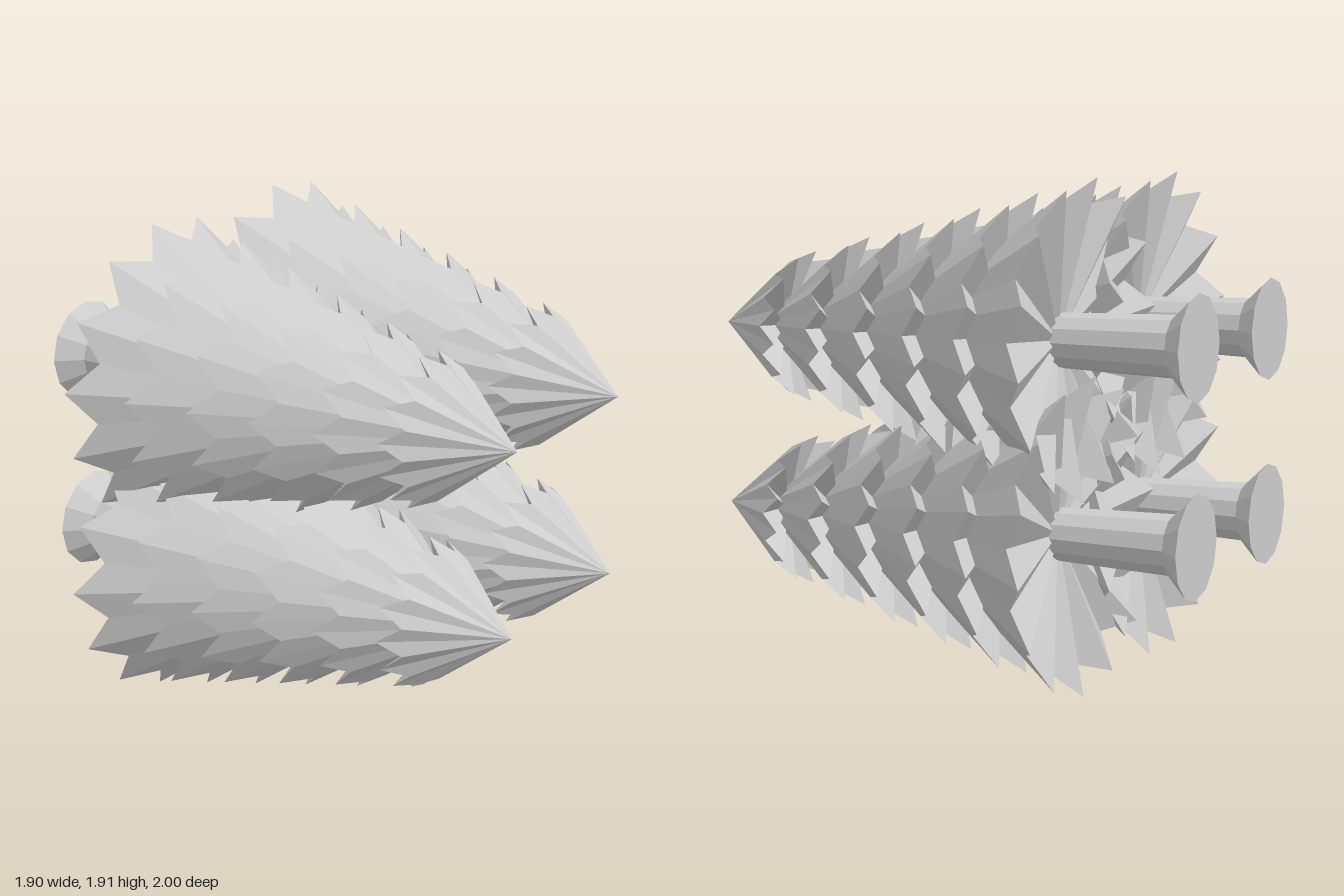
import * as THREE from 'three';

const POINTS = 14; // leaf points on each tier

// Star-edged cone along z: tips reach back, notches sit forward and further in.
function tierGeometry(radius, tipZ, phase) {
  const apex = [0, 0, tipZ + radius / 0.73];
  const hollow = [0, 0, tipZ + 0.13];
  const rim = [];
  for (let i = 0; i < POINTS * 2; i++) {
    const a = phase + (i * Math.PI) / POINTS;
    const tip = i % 2 === 0;
    const r = tip ? radius : radius * 0.865;
    rim.push([r * Math.cos(a), r * Math.sin(a), tip ? tipZ : tipZ + 0.085]);
  }
  const pos = [];
  rim.forEach((p, i) => {
    const q = rim[(i + 1) % rim.length];
    pos.push(...apex, ...p, ...q); // outer slope
    pos.push(...hollow, ...q, ...p); // pleated underside
  });
  const geo = new THREE.BufferGeometry();
  geo.setAttribute('position', new THREE.Float32BufferAttribute(pos, 3));
  geo.computeVertexNormals();
  return geo;
}

// Trunk with a flared, closed foot
function trunkGeometry() {
  const profile = [[0, -1], [0.197, -1], [0.115, -0.915], [0.1, -0.4]];
  const geo = new THREE.LatheGeometry(profile.map(([r, y]) => new THREE.Vector2(r, y)), 12);
  return geo.rotateX(Math.PI / 2);
}

function makeTree(phaseDegrees, material) {
  const tree = new THREE.Group();
  tree.name = 'tree';
  const trunk = new THREE.Mesh(trunkGeometry(), material);
  trunk.name = 'trunk';
  tree.add(trunk);
  // six tiers, widening from the top of the tree to the bottom
  for (let k = 0; k < 6; k++) {
    const geo = tierGeometry(0.29 + 0.061 * k, 0.6 - 0.236 * k, THREE.MathUtils.degToRad(phaseDegrees));
    const tier = new THREE.Mesh(geo, material);
    tier.name = 'foliageTier' + (k + 1);
    tree.add(tier);
  }
  return tree;
}

export function createModel() {
  const model = new THREE.Group();
  model.name = 'fourLyingTrees';
  const grey = new THREE.MeshStandardMaterial({ color: 0xcccccc, flatShading: true });
  grey.name = 'lightGrey';

  // x, y and turn of each tree, all lying with the top towards the front
  const places = [[-0.36, 1.325, 19.8], [0.36, 1.325, 17.5], [-0.36, 0.605, 2], [0.36, 0.605, 17.5]];
  for (const [x, y, turn] of places) {
    const tree = makeTree(turn, grey);
    tree.position.set(x, y, 0);
    model.add(tree);
  }
  return model;
}
